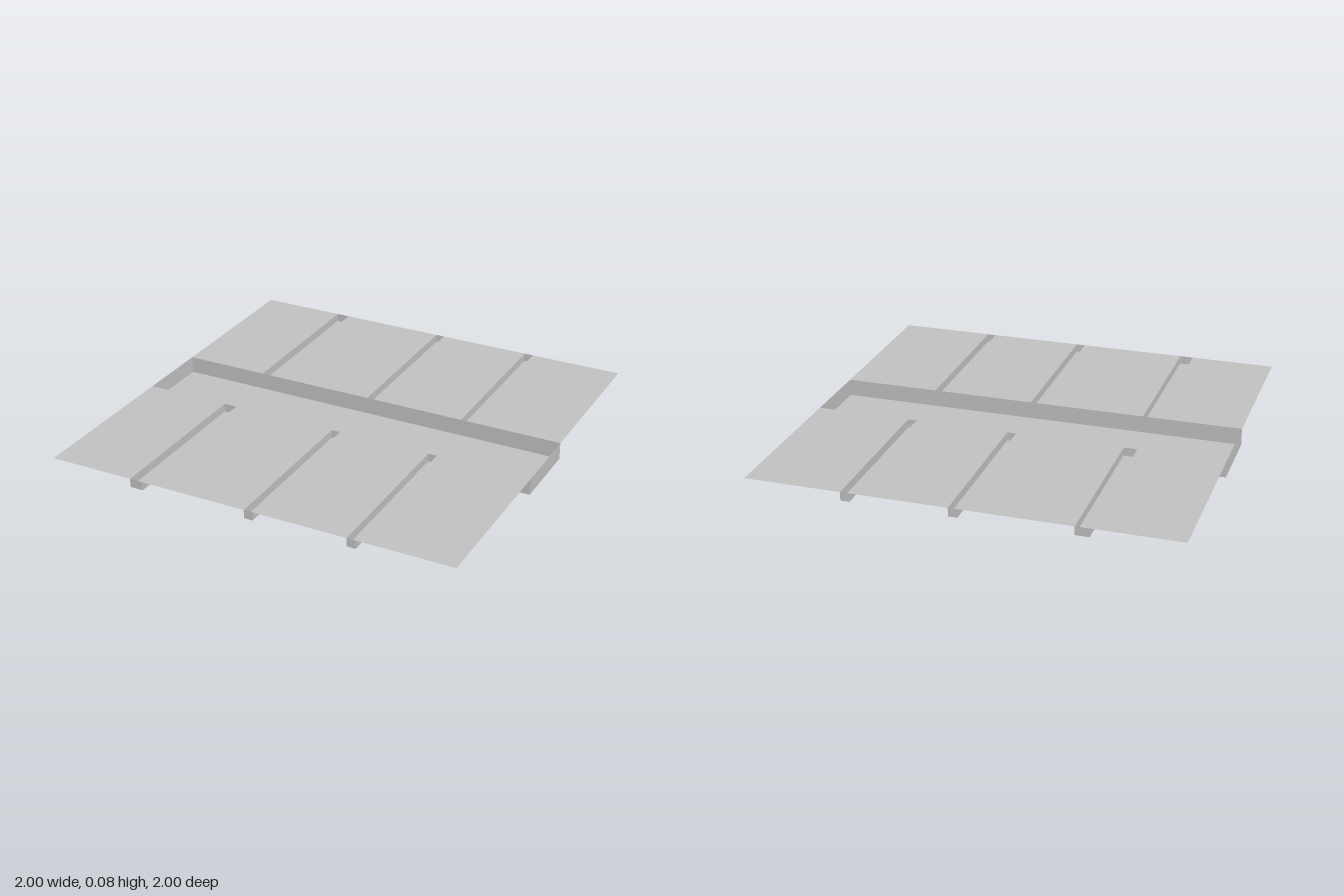
import * as THREE from 'three';

const TOP = 0.083;        // height of the flat sheet
const CHANNEL = 0.185;    // half width of the main channel
const GROOVE_Y = 0.042;   // floor height of the small grooves
const GROOVES = [[-0.585, -0.52], [0, 0.043], [0.498, 0.541]];

const sheetGrey = new THREE.MeshStandardMaterial({ color: 0xc0c0c0, side: THREE.DoubleSide });

// Thin-walled open tray: a box without its top face
function tray(name, x0, x1, z0, z1, floor) {
  const geo = new THREE.BoxGeometry(x1 - x0, TOP - floor, z1 - z0);
  const index = Array.from(geo.index.array);
  index.splice(12, 6);
  geo.setIndex(index);
  geo.clearGroups();
  geo.translate((x0 + x1) / 2, (TOP + floor) / 2, (z0 + z1) / 2);
  const mesh = new THREE.Mesh(geo, sheetGrey);
  mesh.name = name;
  return mesh;
}

// Flat piece of sheet between the grooves
function panel(x0, x1, z0, z1) {
  const geo = new THREE.PlaneGeometry(x1 - x0, z1 - z0).rotateX(-Math.PI / 2);
  geo.translate((x0 + x1) / 2, TOP, (z0 + z1) / 2);
  const mesh = new THREE.Mesh(geo, sheetGrey);
  mesh.name = 'panel';
  return mesh;
}

export function createModel() {
  const model = new THREE.Group();
  model.name = 'channelledSheet';

  // Main channel across the middle
  model.add(tray('mainChannel', -1, 1, -CHANNEL, CHANNEL, 0));

  // Front and back halves: panels separated by narrow grooves
  for (const [name, z0, z1] of [['backHalf', -1, -CHANNEL], ['frontHalf', CHANNEL, 1]]) {
    const half = new THREE.Group();
    half.name = name;
    let x = -1;
    for (const [x0, x1] of GROOVES) {
      half.add(panel(x, x0, z0, z1));
      half.add(tray('groove', x0, x1, z0, z1, GROOVE_Y));
      x = x1;
    }
    half.add(panel(x, 1, z0, z1));
    model.add(half);
  }
  return model;
}
